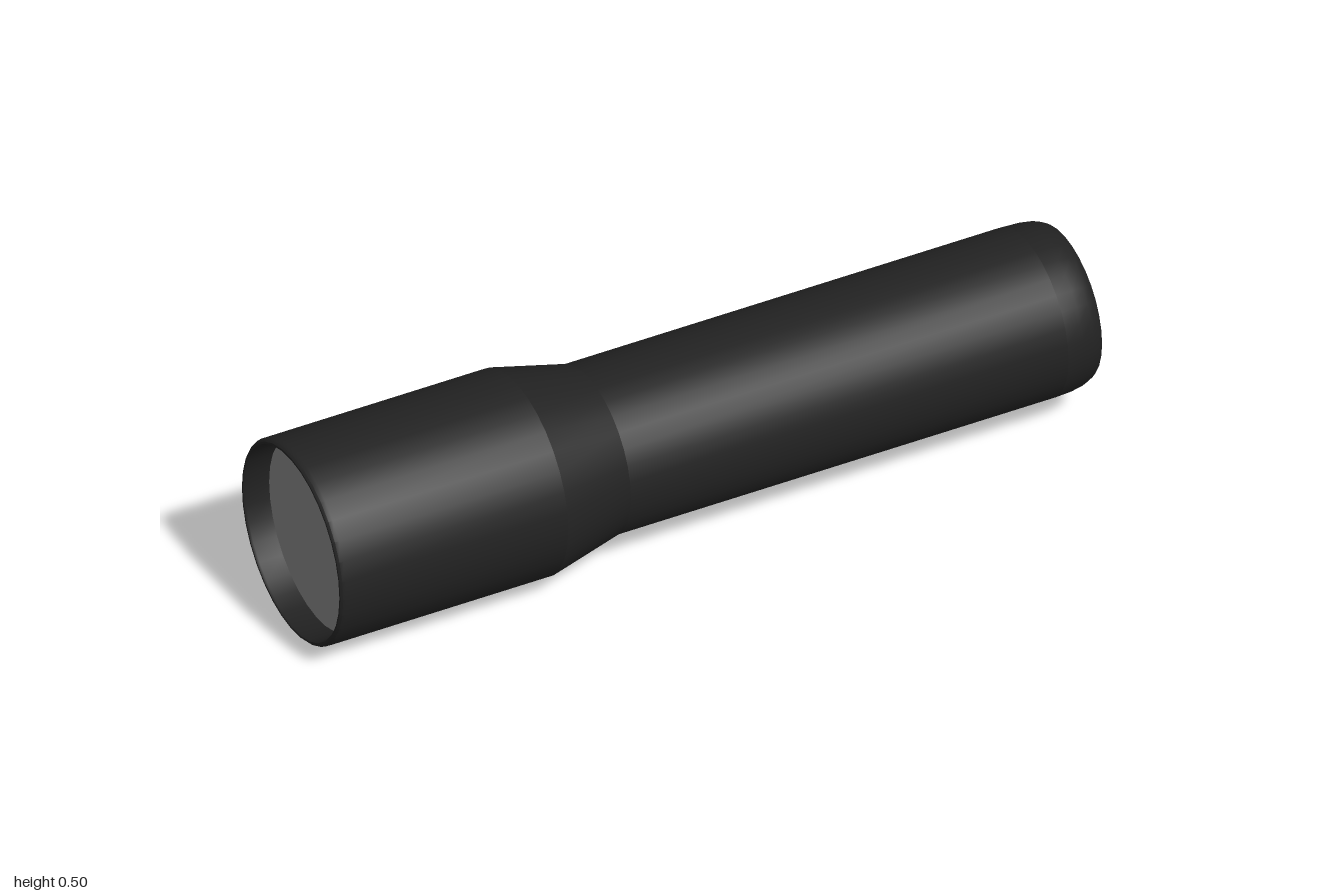
import * as THREE from 'three';
import { toCreasedNormals } from 'three/addons/utils/BufferGeometryUtils.js';

const SIDES = 32;

export function createModel() {
  const torch = new THREE.Group();
  torch.name = 'flashlight';

  const black = new THREE.MeshStandardMaterial({ color: 0x222222 });
  const glass = new THREE.MeshStandardMaterial({ color: 0x808080 });

  // Turns a profile of [x, radius] points around the long axis
  function turned(name, profile, material, crease = 0.6) {
    const points = profile.map(([x, r]) => new THREE.Vector2(r, x));
    const geometry = toCreasedNormals(new THREE.LatheGeometry(points, SIDES), crease);
    geometry.rotateZ(-Math.PI / 2);
    const mesh = new THREE.Mesh(geometry, material);
    mesh.name = name;
    mesh.position.y = 0.25;
    torch.add(mesh);
  }

  // Head: recess wall, softened rim, outer barrel
  turned('head', [
    [-0.935, 0.233], [-0.995, 0.235], [-1, 0.238], [-1, 0.243],
    [-0.995, 0.248], [-0.985, 0.25], [-0.415, 0.25],
  ], black);

  // Lens set back inside the rim
  turned('lens', [[-0.935, 0], [-0.935, 0.233]], glass);

  // Taper between head and handle
  turned('neck', [[-0.415, 0.25], [-0.23, 0.205]], black);

  // Straight handle
  turned('handle', [[-0.23, 0.205], [0.9, 0.205]], black);

  // Rounded tail with a flat end
  turned('tailCap', [
    [0.9, 0.205], [0.94, 0.203], [0.97, 0.198], [0.987, 0.192],
    [0.997, 0.185], [1, 0.178], [1, 0],
  ], black);

  return torch;
}
